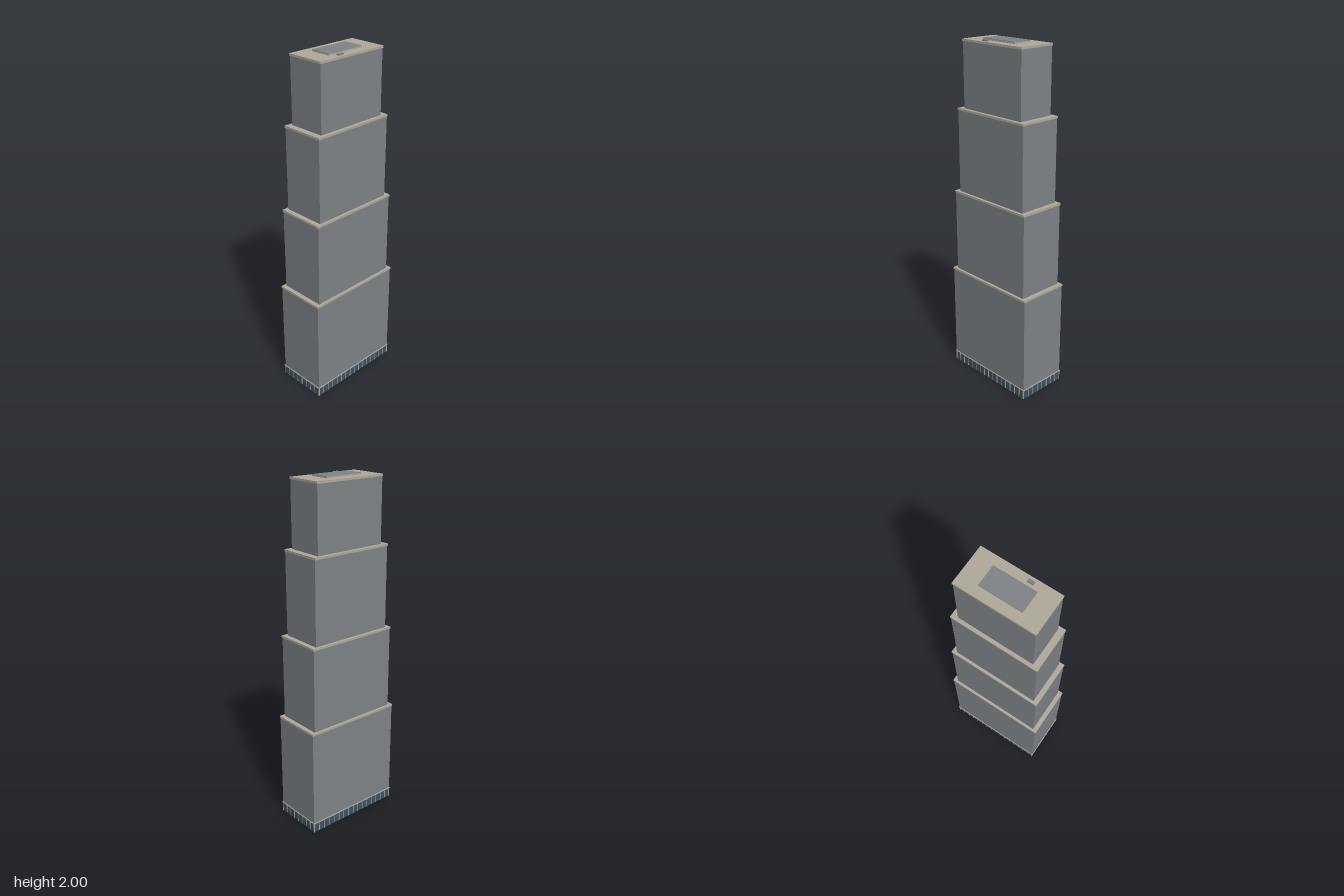
import * as THREE from 'three';

const mat = (name, color) => new THREE.MeshStandardMaterial({ name, color });

export function createModel() {
  const model = new THREE.Group();
  model.name = 'steppedTower';
  const concrete = mat('grey cladding', 0x7f8487);
  const trim = mat('beige trim', 0xb0aa9c);
  const glass = mat('dark blue glass', 0x3f5464);

  const add = (name, geometry, material, parent = model) => {
    const mesh = new THREE.Mesh(geometry, material);
    mesh.name = name;
    parent.add(mesh);
    return mesh;
  };

  // Solid block from y0 to y1 around (x, z)
  const block = (name, w, d, y0, y1, material, x = 0, z = 0, parent = model) => {
    const mesh = add(name, new THREE.BoxGeometry(w, y1 - y0, d), material, parent);
    mesh.position.set(x, (y0 + y1) / 2, z);
    return mesh;
  };

  // Hollow rectangular wall ring of half sizes hx, hz and thickness t
  const rect = (Type, a, b) => new Type([[-a, -b], [a, -b], [a, b], [-a, b]].map(p => new THREE.Vector2(...p)));
  const ring = (name, hx, hz, t, y0, y1, material) => {
    const shape = rect(THREE.Shape, hx, hz);
    shape.holes.push(rect(THREE.Path, hx - t, hz - t));
    const geo = new THREE.ExtrudeGeometry(shape, { depth: y1 - y0, bevelEnabled: false });
    geo.rotateX(-Math.PI / 2).translate(0, y0, 0);
    return add(name, geo, material);
  };

  // Four stepped tiers, each a hollow shaft capped by a slightly wider slab
  const slab = 0.012, lip = 0.003;
  const tiers = [
    // slab half x, slab half z, bottom, top
    [0.1535, 0.3035, 0.06, 0.638],
    [0.142, 0.281, 0.638, 1.131],
    [0.1295, 0.256, 1.131, 1.615],
    [0.113, 0.2235, 1.615, 1.99],
  ];
  tiers.forEach(([hx, hz, y0, y1], i) => {
    ring(`tierWalls${i + 1}`, hx - lip, hz - lip, 0.003, y0, y1 - slab, concrete);
    block(`tierSlab${i + 1}`, hx * 2, hz * 2, y1 - slab, y1, trim);
  });

  // Glazed ground floor, open underneath, with a trim band over it
  const gx = 0.15, gz = 0.30, top = 0.055;
  ring('groundFloorGlazing', gx, gz, 0.003, 0, top, glass);
  ring('groundFloorBand', 0.1545, 0.3045, 0.008, top, 0.06, trim);

  // Mullions between the panes
  const mullions = new THREE.Group();
  mullions.name = 'groundFloorMullions';
  model.add(mullions);
  const pane = 0.0375, m = 0.004, depth = 0.007;
  for (const s of [-1, 1]) {
    for (let i = 0; i <= 8; i++)
      block('mullion', m, depth, 0, top, trim, -gx + i * pane, s * (gz - 0.0015), mullions);
    for (let i = 1; i < 16; i++)
      block('mullion', depth, m, 0, top, trim, s * (gx - 0.0015), -gz + i * pane, mullions);
  }

  // Roof plant platform and a small vent beside it
  block('roofPlantBase', 0.117, 0.235, 1.99, 1.998, trim);
  block('roofPlantTop', 0.117, 0.235, 1.998, 2.0, concrete);
  block('roofVent', 0.018, 0.034, 1.99, 1.997, concrete, 0.087, 0.066);

  return model;
}
